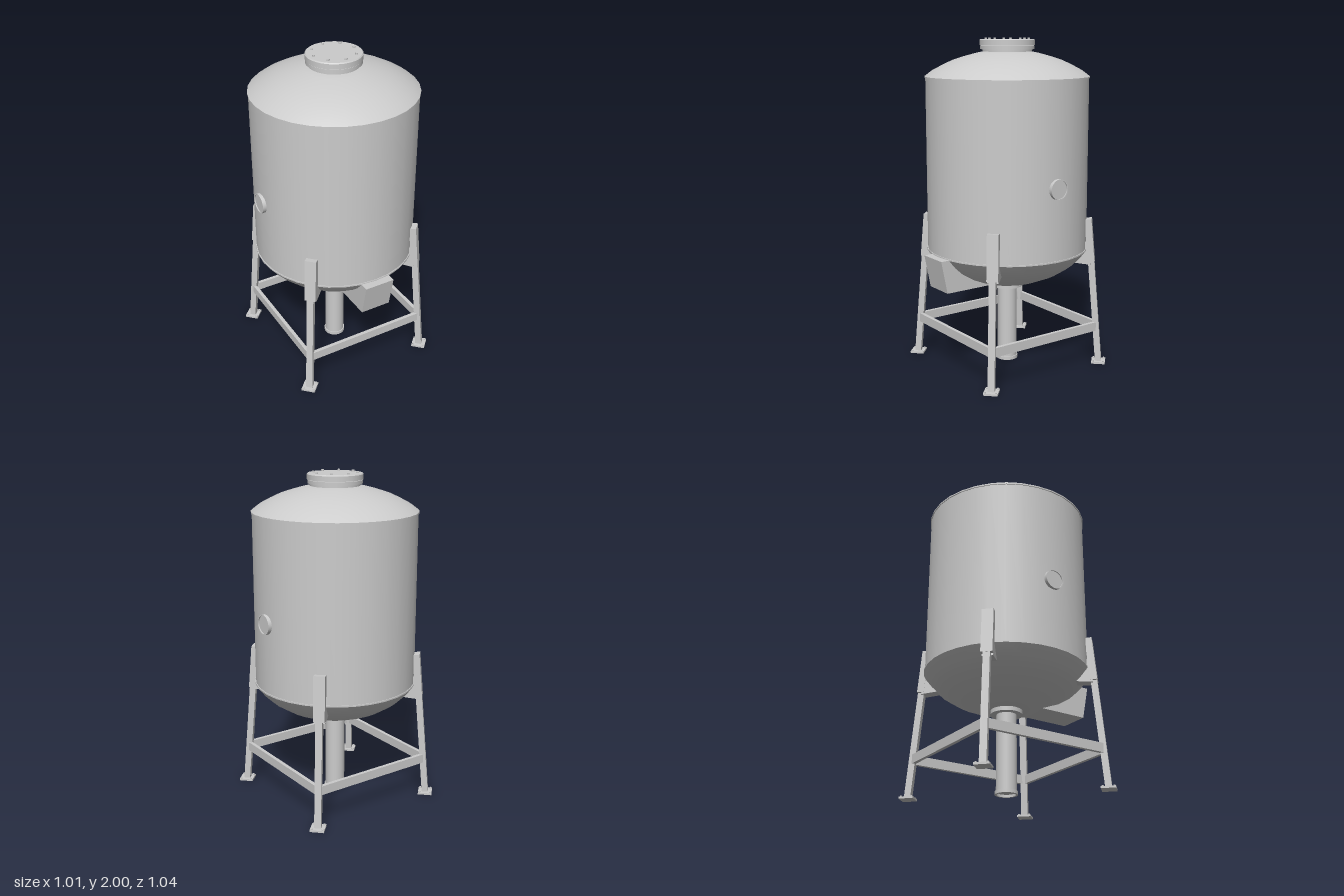
import * as THREE from 'three';

const material = new THREE.MeshStandardMaterial({ color: 0xcccccc, side: THREE.DoubleSide });
const SEG = 32;

function add(parent, name, geometry, x = 0, y = 0, z = 0) {
  const mesh = new THREE.Mesh(geometry, material);
  mesh.name = name;
  mesh.position.set(x, y, z);
  parent.add(mesh);
  return mesh;
}

// Revolved surface from [radius, height] pairs, listed from bottom to top
function lathe(points, segments = SEG) {
  return new THREE.LatheGeometry(points.map(([r, y]) => new THREE.Vector2(r, y)), segments);
}

// Disc or drum between two heights
function drum(parent, name, r, y0, y1) {
  return add(parent, name, new THREE.CylinderGeometry(r, r, y1 - y0, SEG), 0, (y0 + y1) / 2, 0);
}

// Side profile of [z, y] points extruded across x
function prism(points, width) {
  const shape = new THREE.Shape(points.map(([z, y]) => new THREE.Vector2(-z, y)));
  const geometry = new THREE.ExtrudeGeometry(shape, { depth: width, bevelEnabled: false });
  geometry.translate(0, 0, -width / 2);
  return geometry.rotateY(Math.PI / 2);
}

function createLeg() {
  const leg = new THREE.Group();
  leg.name = 'leg';
  const slope = 0.086, tilt = -Math.atan(slope);
  const radiusAt = (y) => 0.58 - slope * y;

  // Inclined post and the wider pad welded to the tank wall
  const post = add(leg, 'legPost', new THREE.BoxGeometry(0.04, 0.89, 0.038), 0, 0.455, radiusAt(0.455));
  const pad = add(leg, 'legPad', new THREE.BoxGeometry(0.068, 0.27, 0.042), 0, 0.783, radiusAt(0.783));
  post.rotation.x = pad.rotation.x = tilt;

  // Wedge under the edge of the tank
  add(leg, 'legGusset', prism([[0.5, 0.8], [0.415, 0.645], [0.52, 0.635]], 0.066));

  // Foot plate with anchor bolts
  add(leg, 'footPlate', new THREE.BoxGeometry(0.085, 0.012, 0.085), 0, 0.006, 0.58);
  for (const x of [-1, 1]) for (const z of [-1, 1]) {
    add(leg, 'anchorBolt', new THREE.CylinderGeometry(0.006, 0.006, 0.008, 10), x * 0.032, 0.015, 0.58 + z * 0.032);
  }
  return leg;
}

function createPorthole(side) {
  const porthole = new THREE.Group();
  porthole.name = 'porthole';
  add(porthole, 'portholeRing', lathe([[0.06, -0.04], [0.06, -0.04], [0.06, 0.017], [0.06, 0.017],
    [0.054, 0.017], [0.054, 0.017], [0.054, 0.011]]));
  add(porthole, 'portholeGlass', new THREE.CylinderGeometry(0.055, 0.055, 0.03, SEG), 0, -0.004, 0);
  porthole.rotation.z = -side * Math.PI / 2;
  porthole.position.set(side * 0.49, 1.155, 0);
  return porthole;
}

export function createModel() {
  const model = new THREE.Group();
  model.name = 'storageTank';
  model.position.z = -0.023;

  // Tank shell with domed ends
  add(model, 'tankWall', lathe([[0.49, 0.725], [0.49, 1.77]]));
  add(model, 'topDome', lathe([[0.495, 1.774], [0.45, 1.808], [0.39, 1.84], [0.33, 1.868], [0.26, 1.891],
    [0.19, 1.91], [0.13, 1.922], [0, 1.93]]));
  add(model, 'bottomDome', lathe([[0, 0.49], [0.1, 0.5], [0.22, 0.533], [0.33, 0.58], [0.41, 0.632],
    [0.455, 0.675], [0.495, 0.725]]));
  drum(model, 'topRim', 0.495, 1.765, 1.774);
  drum(model, 'bottomRim', 0.495, 0.725, 0.734);

  // Manhole neck, flange and bolted cover
  drum(model, 'manholeNeck', 0.148, 1.9, 1.95);
  drum(model, 'manholeFlange', 0.162, 1.932, 1.952);
  add(model, 'manholeCover', lathe([[0, 1.955], [0.165, 1.955], [0.165, 1.955], [0.165, 1.985],
    [0.165, 1.985], [0.16, 1.991], [0.16, 1.991], [0, 1.991]]));
  for (let i = 0; i < 8; i++) {
    const a = (i * Math.PI) / 4;
    add(model, 'coverBolt', new THREE.CylinderGeometry(0.008, 0.008, 0.012, 12),
      0.129 * Math.sin(a), 1.994, 0.129 * Math.cos(a));
  }

  // Outlet pipe, open at the bottom
  drum(model, 'outletFlange', 0.095, 0.475, 0.505);
  add(model, 'outletPipe', lathe([[0.06, 0.01], [0.06, 0.48]]));
  add(model, 'outletRing', lathe([[0.055, 0.02], [0.055, 0], [0.055, 0], [0.066, 0], [0.066, 0],
    [0.066, 0.02], [0.066, 0.02], [0.058, 0.02]]));
  drum(model, 'outletPlug', 0.056, 0.015, 0.02);

  // Front hopper box beneath the wall
  add(model, 'frontHopper', prism([[0.25, 0.728], [0.13, 0.53], [0.5, 0.53], [0.54, 0.728]], 0.19));

  for (const side of [-1, 1]) model.add(createPorthole(side));

  // Four legs on the diagonals, joined by rails
  for (let i = 0; i < 4; i++) {
    const leg = createLeg();
    leg.rotation.y = Math.PI / 4 + (i * Math.PI) / 2;
    model.add(leg);

    const rail = new THREE.Group();
    rail.name = 'crossRail';
    add(rail, 'railBeam', new THREE.BoxGeometry(0.78, 0.055, 0.022), 0, 0.237, 0.4);
    rail.rotation.y = (i * Math.PI) / 2;
    model.add(rail);
  }

  const root = new THREE.Group();
  root.name = 'tankOnLegs';
  root.add(model);
  return root;
}
